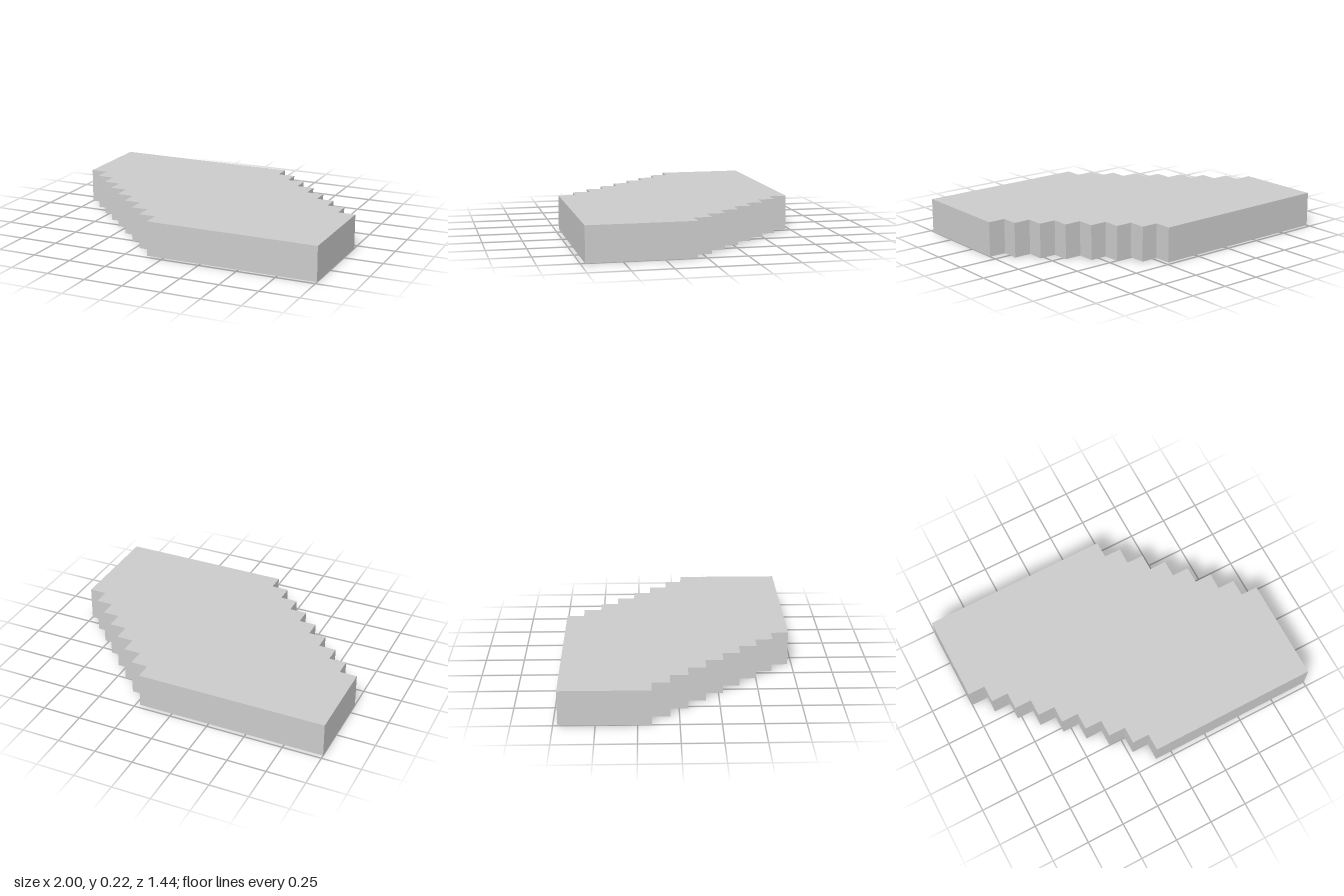
import * as THREE from 'three';

const U = 1 / 9; // one step of the outline

export function createModel() {
  const group = new THREE.Group();
  group.name = 'steppedPlate';

  // Outline in plan, in step units: x to the left side, y towards the back
  const outline = new THREE.Shape();
  const to = (x, y) => outline.lineTo(x * U, y * U);
  outline.moveTo(-U, -6.5 * U);
  to(9, -6.5);
  to(9, -0.5);

  // Back left staircase, seven steps
  for (let i = 0; i < 7; i++) {
    to(8 - i, -0.5 + i);
    to(8 - i, 0.5 + i);
  }
  to(-9, 6.5);

  // Front right staircase, eight steps
  for (let i = 0; i < 8; i++) {
    to(-9 + i, 1.5 - i);
    to(-8 + i, 1.5 - i);
  }
  outline.closePath();

  // Plate, laid flat on the ground
  const geometry = new THREE.ExtrudeGeometry(outline, { depth: 2 * U, bevelEnabled: false });
  geometry.rotateX(-Math.PI / 2);
  const plate = new THREE.Mesh(
    geometry,
    new THREE.MeshStandardMaterial({ color: 0xcccccc, flatShading: true })
  );
  plate.name = 'plate';
  group.add(plate);
  return group;
}
